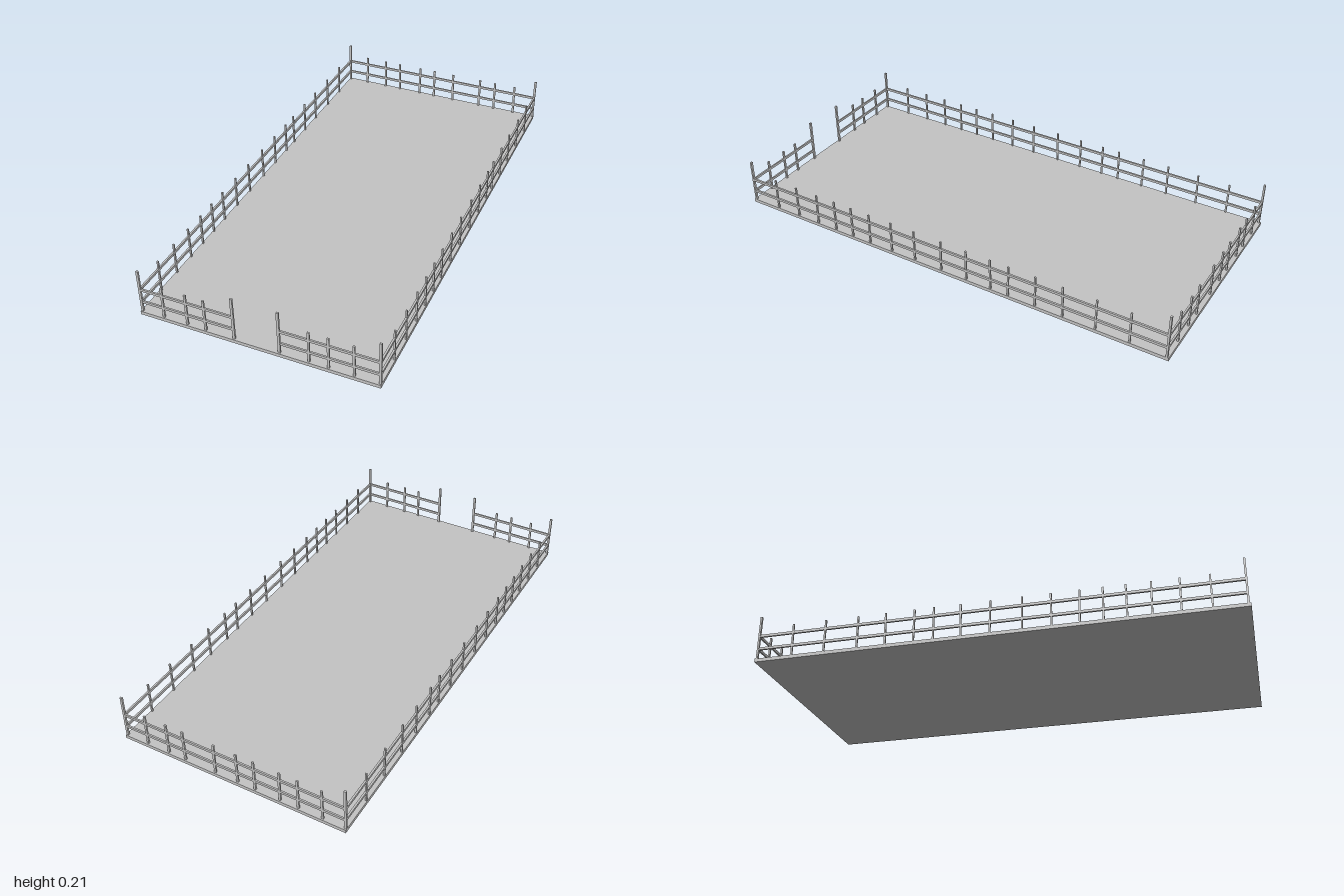
import * as THREE from 'three';

export function createModel() {
  const group = new THREE.Group();
  const grey = new THREE.MeshStandardMaterial({ color: 0xc4c4c4 });
  grey.name = 'light grey';

  const box = (name, w, h, d, x, y, z) => {
    const mesh = new THREE.Mesh(new THREE.BoxGeometry(w, h, d), grey);
    mesh.name = name;
    mesh.position.set(x, y, z);
    group.add(mesh);
    return mesh;
  };

  const EDGE_X = 0.491, EDGE_Z = 0.991;
  const FLOOR = 0.015, TALL = 0.207, SHORT = 0.156;

  // Floor slab
  box('floor', 0.992, FLOOR, 2, 0, FLOOR / 2, 0);

  // Tall corner posts and gate posts
  const tallPost = (name, x, z) => box(name, 0.01, TALL, 0.008, x, TALL / 2, z);
  for (const x of [-EDGE_X, EDGE_X]) {
    for (const z of [-EDGE_Z, EDGE_Z]) tallPost('cornerPost', x, z);
  }
  for (const x of [-0.094, 0.093]) tallPost('gatePost', x, EDGE_Z);

  // Horizontal rails, leaving the gateway open at the front
  for (const y of [0.06, 0.118]) {
    for (const x of [-EDGE_X, EDGE_X]) box('sideRail', 0.008, 0.011, 2 * EDGE_Z, x, y, 0);
    box('backRail', 2 * EDGE_X, 0.011, 0.007, 0, y, -EDGE_Z);
    for (const s of [-1, 1]) box('frontRail', 0.397, 0.011, 0.007, s * 0.2925, y, EDGE_Z);
  }

  // Short posts, each leaning very slightly
  let count = 0;
  const shortPost = (name, x, z, alongX) => {
    const lean = ((count++ % 3) - 1) * 0.012;
    const post = box(name, alongX ? 0.009 : 0.007, SHORT, 0.007, x, SHORT / 2, z);
    if (alongX) post.rotation.z = lean;
    else post.rotation.x = lean;
  };
  for (const x of [-0.395, -0.293, -0.215, 0.212, 0.29, 0.39]) shortPost('frontPost', x, EDGE_Z, true);
  for (const x of [-0.395, -0.293, -0.215, -0.105, -0.028, 0.072, 0.212, 0.29, 0.39]) {
    shortPost('backPost', x, -EDGE_Z, true);
  }
  const sideZ = [0.86, 0.745, 0.636, 0.54, 0.45, 0.358, 0.246, 0.13,
    0, -0.12, -0.233, -0.315, -0.436, -0.556, -0.698, -0.84];
  for (const x of [-EDGE_X, EDGE_X]) {
    for (const z of sideZ) shortPost('sidePost', x, z, false);
  }

  return group;
}
